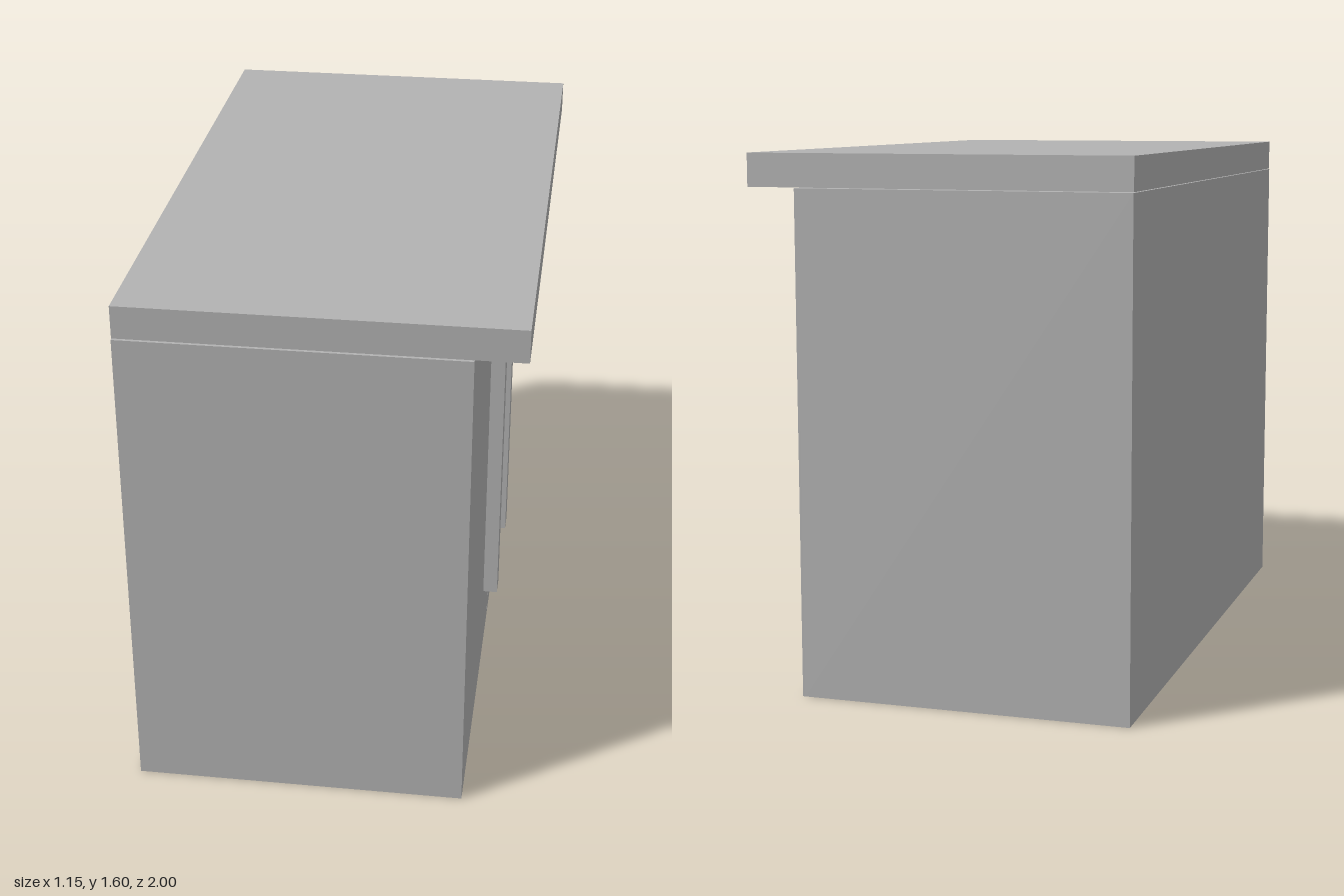
import * as THREE from 'three';

export function createModel() {
  const cabinet = new THREE.Group();
  cabinet.name = 'cabinet';
  const grey = new THREE.MeshStandardMaterial({ color: 0xb2b2b2 });
  grey.name = 'grey';

  // Box given by its lower and upper corners
  function box(name, [x0, y0, z0], [x1, y1, z1]) {
    const mesh = new THREE.Mesh(new THREE.BoxGeometry(x1 - x0, y1 - y0, z1 - z0), grey);
    mesh.position.set((x0 + x1) / 2, (y0 + y1) / 2, (z0 + z1) / 2);
    mesh.name = name;
    cabinet.add(mesh);
  }

  const back = -0.574, face = 0.426, doorBack = 0.418;

  // Carcass and overhanging worktop
  box('carcass', [back, 0, -1], [doorBack, 1.5, 1]);
  box('worktop', [back, 1.502, -0.994], [0.574, 1.6, 0.994]);

  // Pair of doors with a narrow gap, each with an upright bar handle
  for (const [side, s] of [['left', -1], ['right', 1]]) {
    const span = (a, b) => [Math.min(s * a, s * b), Math.max(s * a, s * b)];
    const [d0, d1] = span(0.003, 1);
    box(side + 'Door', [doorBack, 0, d0], [face, 1.5, d1]);
    const [h0, h1] = span(0.163, 0.239);
    box(side + 'Handle', [face, 0.25, h0], [0.471, 1.25, h1]);
  }
  return cabinet;
}
